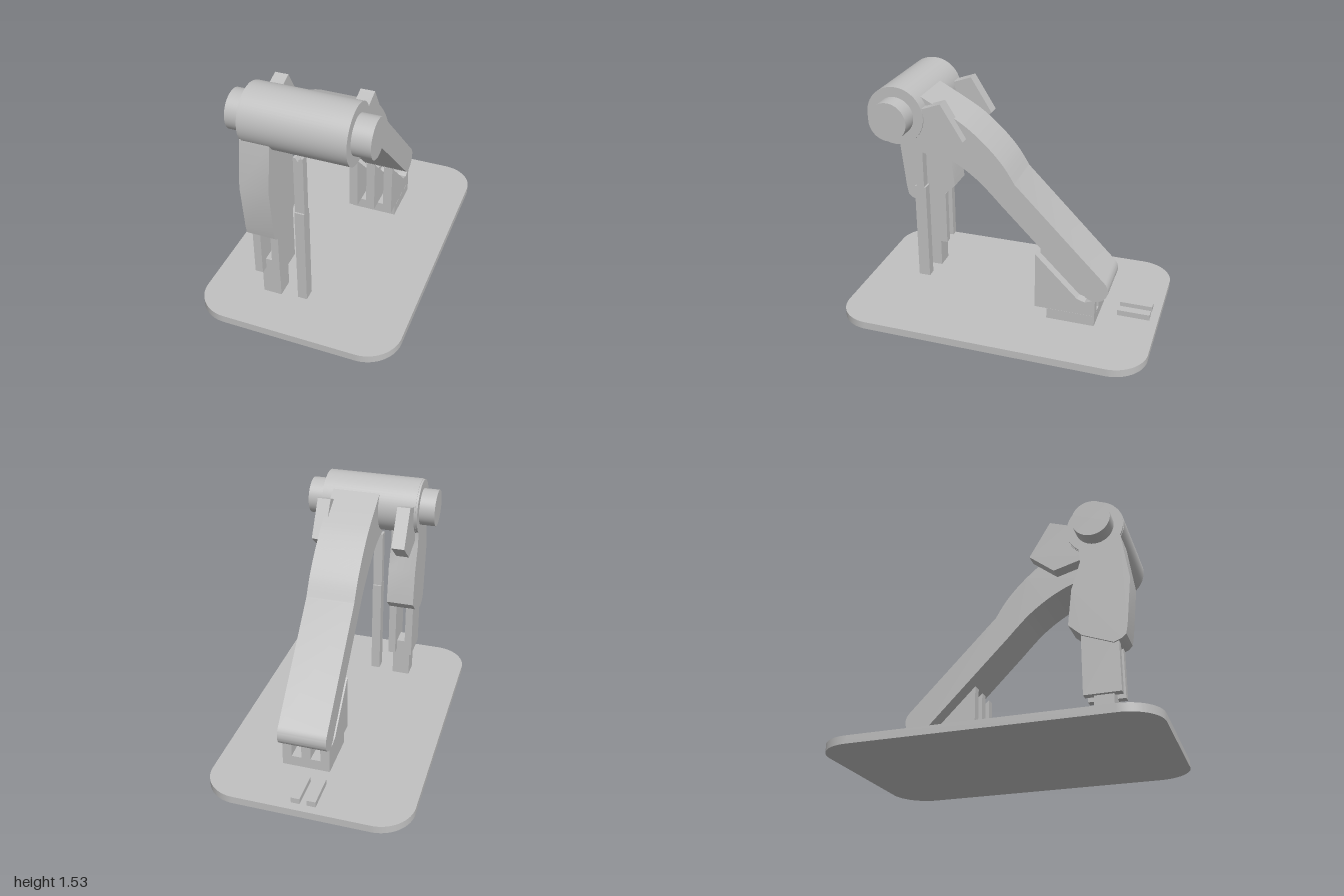
import * as THREE from 'three';
import { toCreasedNormals } from 'three/addons/utils/BufferGeometryUtils.js';

const grey = new THREE.MeshStandardMaterial({ color: 0xc0c0c0 });
grey.name = 'plain grey';

const AXLE_Y = 1.348, AXLE_Z = 0.64;

export function createModel() {
  const group = new THREE.Group();

  const add = (name, geometry) => {
    const mesh = new THREE.Mesh(geometry, grey);
    mesh.name = name;
    group.add(mesh);
    return mesh;
  };

  // Box given by its limits on each axis
  const box = (name, x0, x1, y0, y1, z0, z1) => {
    const mesh = add(name, new THREE.BoxGeometry(x1 - x0, y1 - y0, z1 - z0));
    mesh.position.set((x0 + x1) / 2, (y0 + y1) / 2, (z0 + z1) / 2);
  };

  // Side profile drawn in (-z, y), extruded from x0 to x1
  const slab = (name, shape, x0, x1) => {
    const geo = new THREE.ExtrudeGeometry(shape, { depth: x1 - x0, bevelEnabled: false, curveSegments: 16 });
    geo.rotateY(Math.PI / 2).translate(x0, 0, 0);
    add(name, toCreasedNormals(geo, 0.4));
  };
  const polygon = (points) => new THREE.Shape(points.map(([z, y]) => new THREE.Vector2(-z, y)));

  // Cylinder lying along x on the axle line
  const roller = (name, radius, x0, x1) => {
    const geo = new THREE.CylinderGeometry(radius, radius, x1 - x0, 64);
    geo.rotateZ(Math.PI / 2).translate((x0 + x1) / 2, AXLE_Y, AXLE_Z);
    add(name, geo);
  };

  // Base plate with rounded corners
  const w = 0.65, d = 1, r = 0.22;
  const plate = new THREE.Shape();
  plate.absarc(w - r, d - r, r, 0, Math.PI / 2);
  plate.absarc(r - w, d - r, r, Math.PI / 2, Math.PI);
  plate.absarc(r - w, r - d, r, Math.PI, Math.PI * 1.5);
  plate.absarc(w - r, r - d, r, Math.PI * 1.5, Math.PI * 2);
  const plateGeo = new THREE.ExtrudeGeometry(plate, { depth: 0.05, bevelEnabled: false, curveSegments: 16 });
  plateGeo.rotateX(-Math.PI / 2);
  add('basePlate', toCreasedNormals(plateGeo, 0.4));

  // Drum and its axle
  roller('drum', 0.182, -0.315, 0.312);
  roller('axle', 0.12, -0.43, 0.425);

  // Long curved arm reaching back to the rear stand
  const arm = new THREE.Shape();
  arm.moveTo(-0.64, 1.3);
  arm.lineTo(-0.61, 1.165);
  arm.splineThru([[-0.48, 1.14], [-0.367, 1.1], [-0.25, 1.037], [-0.14, 0.957], [-0.056, 0.877], [0, 0.818]]
    .map((p) => new THREE.Vector2(...p)));
  arm.lineTo(0.556, 0.258);
  arm.absarc(0.615, 0.316, 0.084, Math.PI * 1.25, Math.PI * 2.25, false);
  arm.lineTo(0.094, 0.963);
  arm.splineThru([[0.02, 1.078], [-0.078, 1.187], [-0.196, 1.289], [-0.3, 1.355], [-0.41, 1.415], [-0.507, 1.467]]
    .map((p) => new THREE.Vector2(...p)));
  slab('arm', arm, -0.069, 0.243);

  // Knuckle blocks behind both ends of the drum
  const knuckle = polygon([[0.6, 1.4], [0.61, 1.163], [0.367, 1.1], [0.212, 1.225], [0.35, 1.45], [0.46, 1.41]]);
  slab('rightKnuckle', knuckle, -0.306, -0.222);
  slab('leftKnuckle', knuckle, 0.217, 0.303);

  // Bent front leg with a round head
  const leg = polygon([
    [0.796, 1.26], [0.839, 0.957], [0.807, 0.652], [0.796, 0.594], [0.77, 0.57], [0.72, 0.552],
    [0.534, 0.625], [0.453, 0.7], [0.48, 0.936], [0.54, 1.117], [0.53, 1.25], [0.64, 1.35],
  ]);
  slab('frontLeg', leg, -0.328, -0.146);
  roller('frontLegHead', 0.178, -0.328, -0.146);

  // Forked post under the front leg
  box('forkPost', -0.292, -0.173, 0.05, 0.322, 0.582, 0.7);
  for (const [x0, x1] of [[-0.316, -0.266], [-0.199, -0.15]]) {
    slab('forkProng', polygon([[0.75, 0.252], [0.75, 0.565], [0.72, 0.575], [0.525, 0.628], [0.525, 0.252]]), x0, x1);
  }

  // Slim stepped pole with a notched tip
  box('poleLower', -0.067, -0.006, 0.05, 0.73, 0.605, 0.683);
  const tip = new THREE.Shape([
    [-0.067, 0.73], [-0.006, 0.73], [-0.006, 1.12], [-0.022, 1.12],
    [-0.037, 1.095], [-0.052, 1.12], [-0.067, 1.12],
  ].map((p) => new THREE.Vector2(...p)));
  const tipGeo = new THREE.ExtrudeGeometry(tip, { depth: 0.055, bevelEnabled: false });
  add('poleUpper', tipGeo.translate(0, 0, 0.617));

  // Rear stand: low block with three sloping prongs
  box('standBlock', -0.066, 0.243, 0.05, 0.122, -0.62, -0.308);
  const prong = polygon([
    [-0.228, 0.122], [-0.62, 0.122], [-0.62, 0.232], [-0.6, 0.232],
    [-0.555, 0.214], [-0.505, 0.23], [-0.228, 0.505],
  ]);
  for (const x of [-0.066, 0.058, 0.182]) slab('standProng', prong, x, x + 0.06);

  // Two small bars on the plate behind the stand
  for (const x of [-0.08, 0.02]) box('plateBar', x, x + 0.055, 0.05, 0.088, -0.945, -0.735);

  return group;
}
